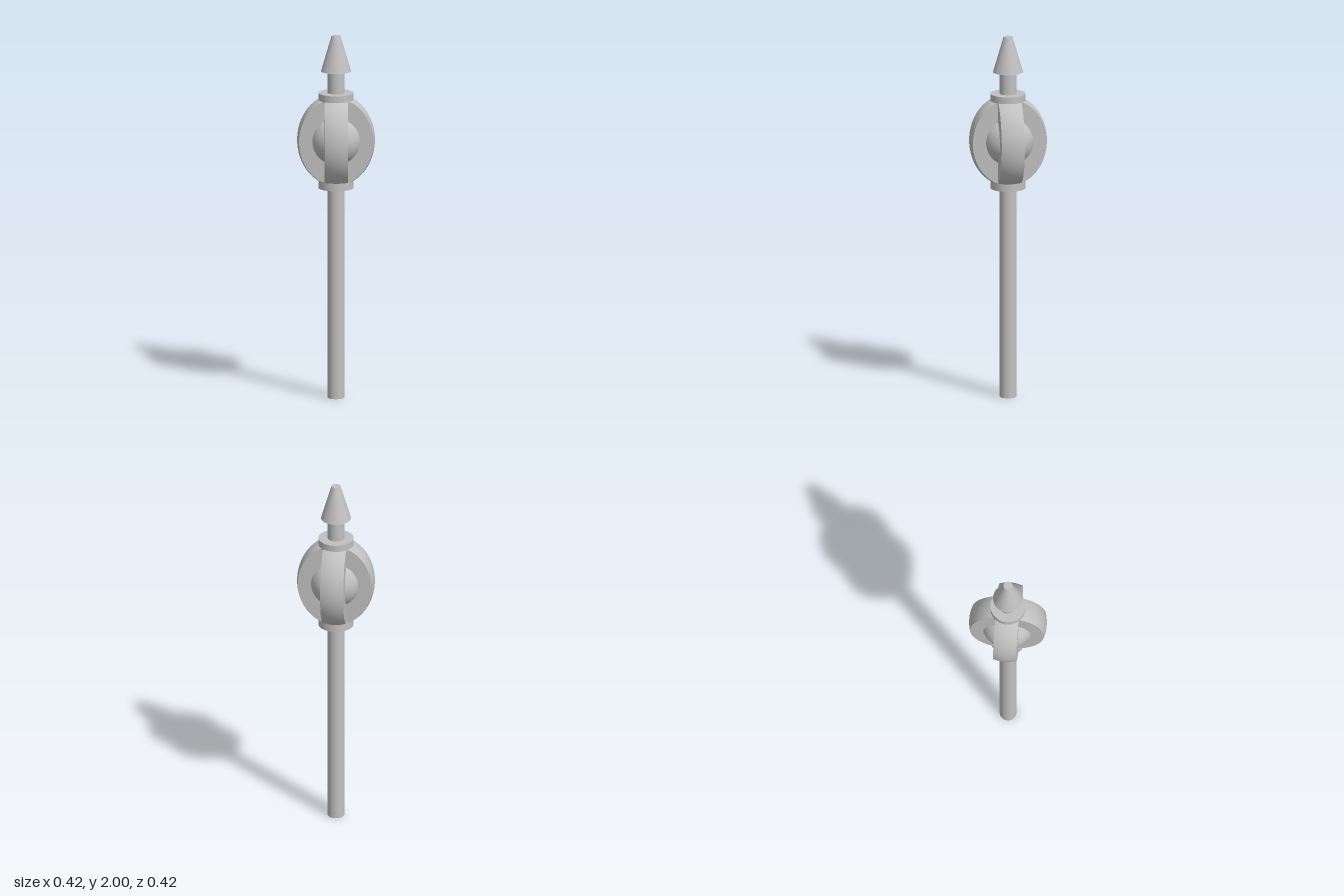
import * as THREE from 'three';
import { mergeGeometries } from 'three/addons/utils/BufferGeometryUtils.js';

const CENTER_Y = 1.425;   // middle of the finial head
const RADIUS = 0.21;      // head radius at the middle
const HALF_HEIGHT = 0.25; // head ellipse half height
const CLIP = 0.225;       // ribs end inside the collars
const HALF_WIDTH = 0.063; // half thickness of a rib

// Grid surface from f(u, v); its front faces along dU x dV.
function surface(f, nu, nv) {
  const positions = [], index = [];
  for (let i = 0; i <= nu; i++) {
    for (let j = 0; j <= nv; j++) positions.push(...f(i / nu, j / nv));
  }
  for (let i = 0; i < nu; i++) {
    for (let j = 0; j < nv; j++) {
      const a = i * (nv + 1) + j, c = a + nv + 1;
      index.push(a, c, a + 1, c, c + 1, a + 1);
    }
  }
  const geometry = new THREE.BufferGeometry();
  geometry.setAttribute('position', new THREE.Float32BufferAttribute(positions, 3));
  geometry.setIndex(index);
  geometry.computeVertexNormals();
  return geometry;
}

// Rib pointing along +x: a slab with a domed outer face and flat sides.
function ribGeometry() {
  const limit = Math.asin(CLIP / HALF_HEIGHT);
  const angle = (t) => (2 * t - 1) * limit;
  const height = (t) => CENTER_Y + HALF_HEIGHT * Math.sin(angle(t));
  const reach = (t, z) => {
    const r = RADIUS * Math.cos(angle(t));
    return Math.max(HALF_WIDTH, Math.sqrt(Math.max(0, r * r - z * z)));
  };
  const sideX = (t, s) => THREE.MathUtils.lerp(HALF_WIDTH, reach(t, HALF_WIDTH), s);
  const outer = surface((u, v) => {
    const z = (2 * v - 1) * HALF_WIDTH;
    return [reach(u, z), height(u), z];
  }, 40, 10);
  const front = surface((u, v) => [sideX(v, u), height(v), HALF_WIDTH], 1, 40);
  const back = surface((u, v) => [sideX(u, v), height(u), -HALF_WIDTH], 40, 1);
  return mergeGeometries([outer, front, back]);
}

export function createModel() {
  const model = new THREE.Group();
  model.name = 'spearFinialPost';
  const metal = new THREE.MeshStandardMaterial({ color: 0xc0c0c0 });
  metal.name = 'grey metal';

  const add = (name, geometry, y = 0) => {
    const mesh = new THREE.Mesh(geometry, metal);
    mesh.name = name;
    mesh.position.y = y;
    model.add(mesh);
    return mesh;
  };
  const addRound = (name, bottom, top, rBottom, rTop = rBottom) =>
    add(name, new THREE.CylinderGeometry(rTop, rBottom, top - bottom, 64), (bottom + top) / 2);

  // Post and pointed tip
  addRound('shaft', 0, 1.81, 0.045);
  addRound('tip', 1.805, 2, 0.081, 0.024);

  // Collars holding the head
  addRound('lowerCollar', 1.16, 1.205, 0.095);
  addRound('upperCollar', 1.64, 1.685, 0.095);

  // Ball showing between four ribs
  add('ball', new THREE.SphereGeometry(0.143, 64, 40), CENTER_Y + 0.003);
  const rib = ribGeometry();
  ['leftRib', 'backRib', 'rightRib', 'frontRib'].forEach((name, i) => {
    add(name, rib).rotation.y = i * Math.PI / 2;
  });

  return model;
}
